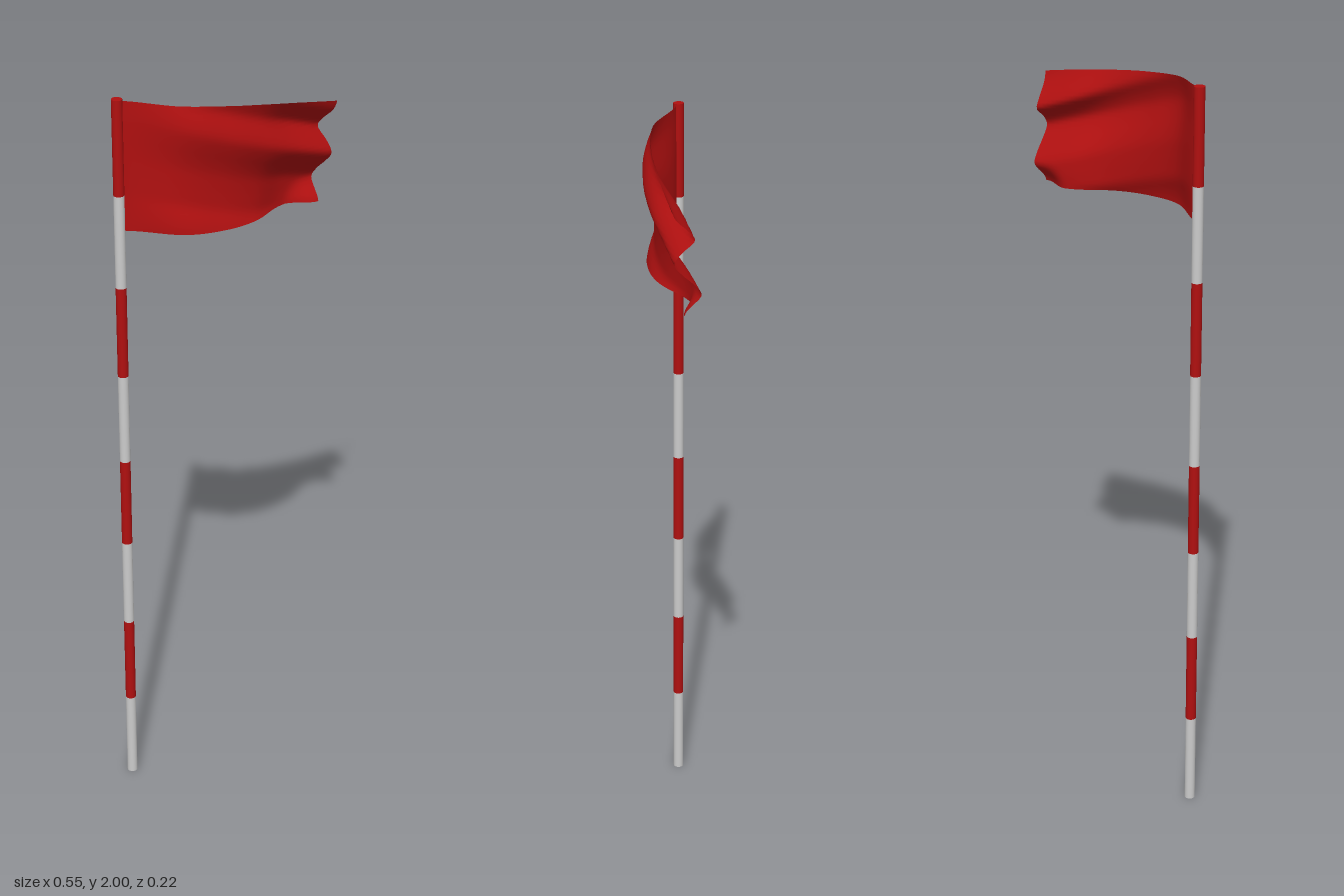
import * as THREE from 'three';

const RED = 0xb01010;
const POLE = { x: -0.264, z: -0.096, radius: 0.0138, bands: 8, height: 2 };

// Smooth function through evenly spaced values over [0, end]
function smoothTable(values, end) {
  const curve = new THREE.SplineCurve(values.map((v, i) => new THREE.Vector2(i, v)));
  return (p) => curve.getPoint(THREE.MathUtils.clamp(p / end, 0, 1)).y;
}

// Overall sweep of the cloth, fold depth along it, and the fold profile down it
const sweep = smoothTable([-0.09, 0.015, 0.058, 0.072, 0.065, 0.065], 1);
const depth = smoothTable([0, 0.014, 0.018, 0.024, 0.038, 0.042], 1);
const fold = smoothTable(
  [1, 0.7, 0, -0.45, 0.35, 0.8, 0.3, -0.4, -0.9, -1, -1, -0.9, -0.2, 0.2, 0], 1.4);

// u runs from pole to free edge, t from top to bottom
function clothPoint(u, t) {
  const step = THREE.MathUtils.smoothstep;
  const width = 0.535 - 0.007 * step(t, 0, 0.3) - 0.013 * step(t, 0.75, 1);
  const top = 1.996 - 0.06 * u - 0.022 * u * u;
  const bottom = 1.655 - 0.03 * u + 0.01 * u * u;
  const cornerCurl = 0.045 * step(u, 0.84, 1) * step(t, 0.78, 1);
  return [
    -0.26 + u * width,
    THREE.MathUtils.lerp(top, bottom, t),
    sweep(u) + depth(u) * fold(t + 0.4 * (1 - u)) + cornerCurl,
  ];
}

function makeFlag() {
  const geometry = new THREE.PlaneGeometry(1, 1, 40, 32);
  const { position, uv } = geometry.attributes;
  for (let i = 0; i < position.count; i++) {
    position.setXYZ(i, ...clothPoint(uv.getX(i), 1 - uv.getY(i)));
  }
  geometry.computeVertexNormals();
  const flag = new THREE.Mesh(
    geometry, new THREE.MeshStandardMaterial({ color: RED, side: THREE.DoubleSide }));
  flag.name = 'flag';
  return flag;
}

// Striped pole: equal bands, white at the foot and red at the top
function makePole() {
  const pole = new THREE.Group();
  pole.name = 'pole';
  const h = POLE.height / POLE.bands;
  const geometry = new THREE.CylinderGeometry(POLE.radius, POLE.radius, h, 24);
  const white = new THREE.MeshStandardMaterial({ color: 0xcccccc });
  const red = new THREE.MeshStandardMaterial({ color: RED });
  for (let i = 0; i < POLE.bands; i++) {
    const band = new THREE.Mesh(geometry, i % 2 ? red : white);
    band.name = i % 2 ? 'redBand' : 'whiteBand';
    band.position.set(POLE.x, (i + 0.5) * h, POLE.z);
    pole.add(band);
  }
  return pole;
}

export function createModel() {
  const model = new THREE.Group();
  model.name = 'flagOnStripedPole';
  model.add(makePole(), makeFlag());
  return model;
}
